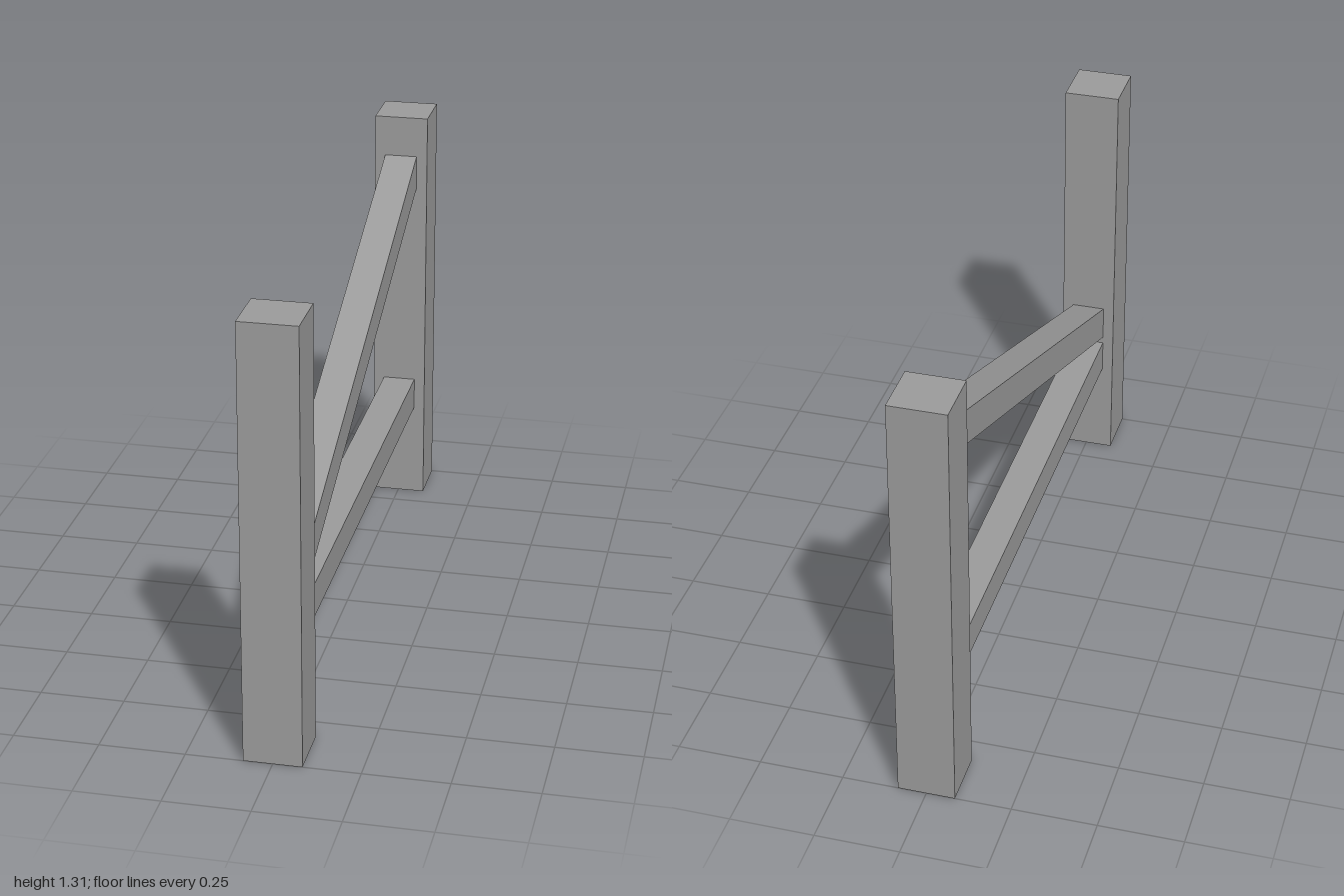
import * as THREE from 'three';

const material = new THREE.MeshStandardMaterial({ color: 0x9c9c9c, flatShading: true });

function beam(name, width, height, length, y, z, tilt = 0) {
  const mesh = new THREE.Mesh(new THREE.BoxGeometry(width, height, length), material);
  mesh.name = name;
  mesh.position.set(0, y, z);
  mesh.rotation.x = tilt;
  return mesh;
}

export function createModel() {
  const group = new THREE.Group();
  group.name = 'fenceSection';

  // Square upright posts at each end
  const post = 0.169, height = 1.306;
  for (const [name, side] of [['frontPost', 1], ['backPost', -1]]) {
    group.add(beam(name, post, height, post, height / 2, side * (1 - post / 2)));
  }

  // Level rail between the posts
  group.add(beam('lowerRail', 0.102, 0.102, 1.68, 0.355, 0));

  // Sloping brace, rising towards the back, its square ends let into the posts
  const slope = Math.atan2(0.645, 1.666);
  group.add(beam('diagonalBrace', 0.102, 0.102, 1.815, 0.804, 0, slope));

  return group;
}
